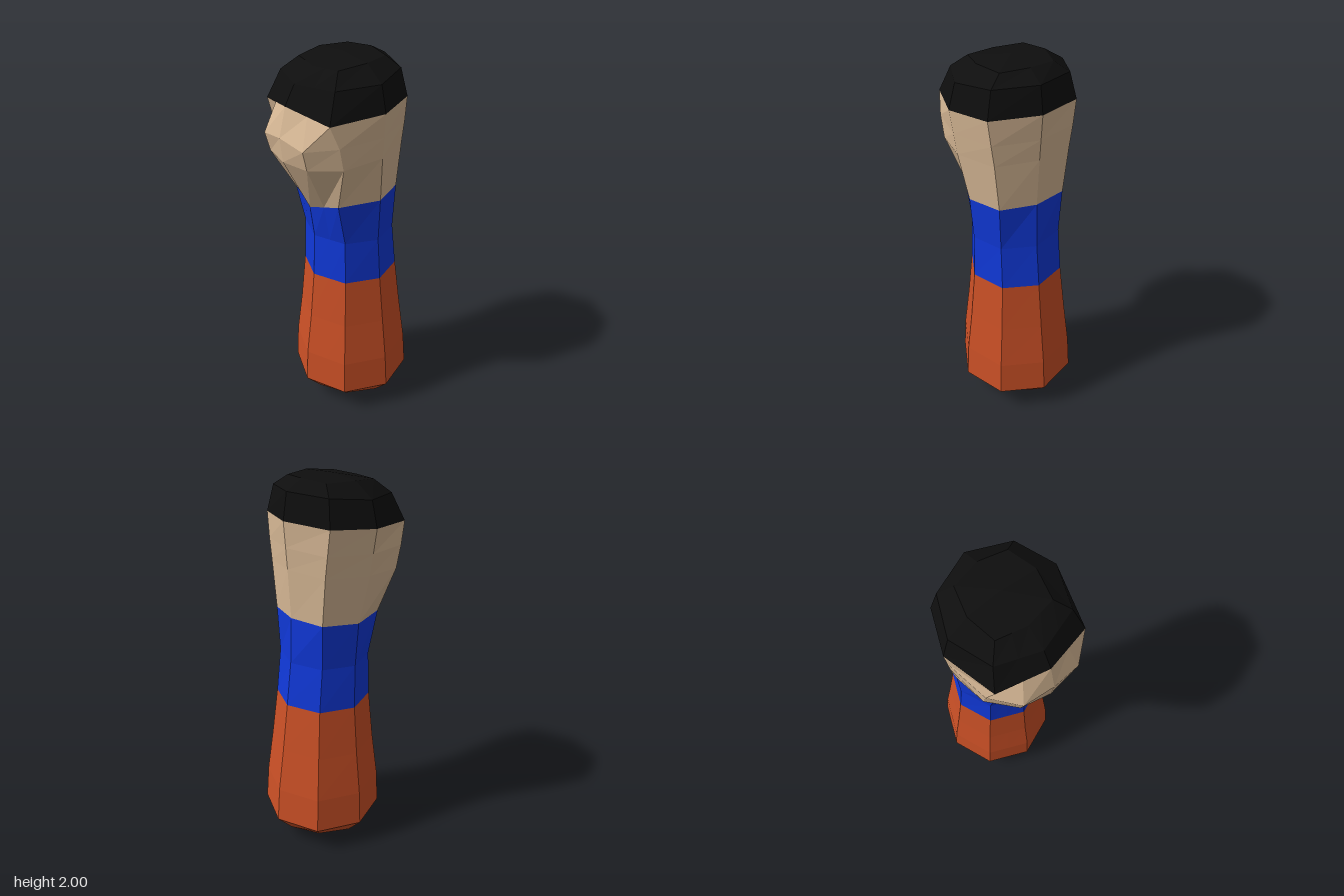
import * as THREE from 'three';

// Half section from +x round the front to -x: right, diagonal, middle, diagonal, cheek, left.
// Without a cheek point, it sits halfway along the straight edge.
function section(right, diagR, mid, diagL, left, cheek) {
  const v = p => new THREE.Vector3(p[0], p[1], p[2] ?? 0);
  const a = v(diagL), b = v(left);
  const c = cheek ? v(cheek) : a.clone().lerp(b, 0.5);
  const half = [v(right), v(diagR), v(mid), a, c, b];
  // mirror to the back
  const back = half.slice(1, 5).reverse().map(p => new THREE.Vector3(p.x, p.y, -p.z));
  return [...half, ...back];
}

// Level octagon
function octagon(y, cx, rx, rz = rx, diagY = y) {
  const k = Math.SQRT1_2;
  return section([cx + rx, y], [cx + rx * k, diagY, rz * k], [cx, y, rz],
    [cx - rx * k, diagY, rz * k], [cx - rx, y]);
}

const tip = (x, y) => Array.from({ length: 10 }, () => new THREE.Vector3(x, y, 0));

// Skin between successive sections, with flat facets
function loft(name, rings, material) {
  const pos = [];
  const tri = (a, b, c) => {
    if (a.equals(b) || b.equals(c) || a.equals(c)) return;
    for (const p of [a, b, c]) pos.push(p.x, p.y, p.z);
  };
  for (let r = 0; r < rings.length - 1; r++) {
    const lo = rings[r], hi = rings[r + 1];
    for (let i = 0; i < lo.length; i++) {
      const j = (i + 1) % lo.length;
      tri(lo[j], lo[i], hi[i]);
      tri(lo[j], hi[i], hi[j]);
    }
  }
  const g = new THREE.BufferGeometry();
  g.setAttribute('position', new THREE.Float32BufferAttribute(pos, 3));
  g.computeVertexNormals();
  const mesh = new THREE.Mesh(g, material);
  mesh.name = name;
  return mesh;
}

function paint(name, color) {
  const m = new THREE.MeshStandardMaterial({ color });
  m.name = name;
  m.flatShading = true;
  return m;
}

export function createModel() {
  const group = new THREE.Group();
  group.name = 'figure';

  // Shared borders between the colours
  const waist = octagon(0.835, 0.045, 0.245, 0.25);
  const neck = section([0.25, 1.315], [0.2, 1.31, 0.18], [0.03, 1.305, 0.255],
    [-0.175, 1.3, 0.18], [-0.215, 1.245]);
  const hairline = section([0.283, 1.81], [0.2, 1.8, 0.235], [-0.012, 1.787, 0.322],
    [-0.275, 1.765, 0.248], [-0.34, 1.805]);

  // Lower body with rounded foot
  group.add(loft('lowerBody', [
    tip(0.055, 0),
    octagon(0.04, 0.055, 0.23, 0.23, 0.055),
    octagon(0.14, 0.055, 0.32),
    octagon(0.33, 0.052, 0.308),
    octagon(0.57, 0.05, 0.275, 0.278),
    waist,
  ], paint('orangeRed', 0xcb5026)));

  // Torso
  group.add(loft('torso', [waist, octagon(1.07, 0.035, 0.225, 0.24), neck],
    paint('blue', 0x1038d8)));

  // Face, bulging towards -x
  group.add(loft('face', [
    neck,
    section([0.265, 1.57], [0.203, 1.56, 0.205], [0, 1.555, 0.295],
      [-0.21, 1.54, 0.265], [-0.365, 1.535], [-0.335, 1.535, 0.15]),
    section([0.273, 1.68], [0.203, 1.67, 0.22], [-0.005, 1.665, 0.308],
      [-0.235, 1.655, 0.268], [-0.378, 1.66], [-0.36, 1.635, 0.155]),
    hairline,
  ], paint('tan', 0xd8b996)));

  // Cap of hair
  group.add(loft('hair', [
    hairline,
    section([0.26, 1.945], [0.18, 1.935, 0.205], [-0.01, 1.915, 0.287],
      [-0.215, 1.905, 0.21], [-0.285, 1.9]),
    section([0.17, 1.993], [0.14, 1.985, 0.14], [-0.005, 1.985, 0.18],
      [-0.15, 1.97, 0.15], [-0.18, 1.965]),
    tip(0, 2),
  ], paint('black', 0x0e0e0e)));

  return group;
}
